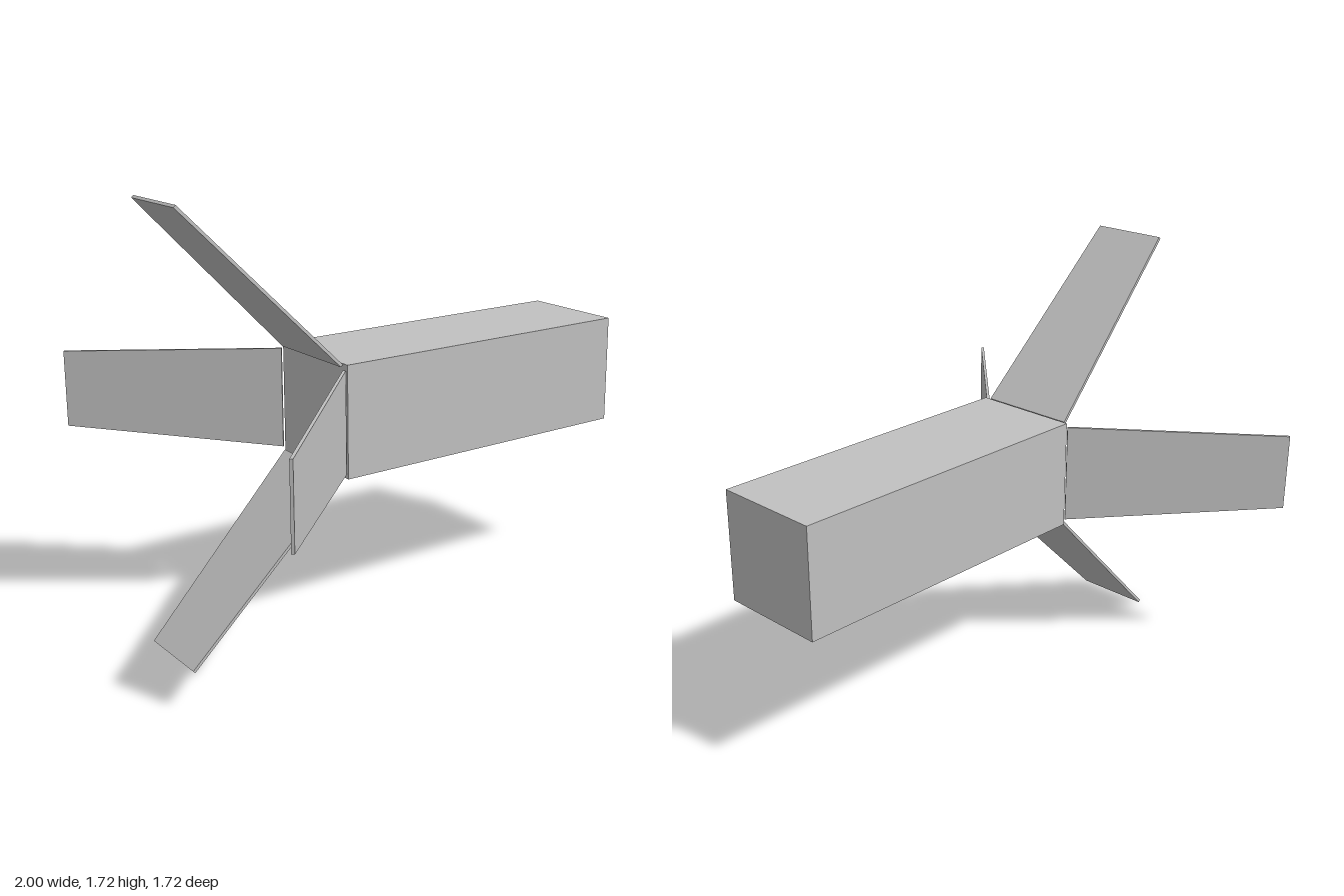
import * as THREE from 'three';

export function createModel() {
  const model = new THREE.Group();
  model.name = 'finnedBox';
  const grey = new THREE.MeshStandardMaterial({ color: 0xc0c0c0 });
  grey.name = 'plain grey';

  const centreY = 0.8575;
  const finLength = 0.9, finThickness = 0.012, rootHalf = 0.202, tipHalf = 0.157;

  // Long square body
  const body = new THREE.Mesh(new THREE.BoxGeometry(1.348, 0.445, 0.445), grey);
  body.name = 'body';
  body.position.set(0.326, centreY, 0);
  model.add(body);

  // Tapered flat fin, leaning back and outward at 45 degrees
  const outline = new THREE.Shape([
    new THREE.Vector2(-rootHalf, 0),
    new THREE.Vector2(rootHalf, 0),
    new THREE.Vector2(tipHalf, finLength),
    new THREE.Vector2(-tipHalf, finLength),
  ]);
  const finGeometry = new THREE.ExtrudeGeometry(outline, { depth: finThickness, bevelEnabled: false });
  finGeometry.translate(0, 0, -finThickness / 2);
  finGeometry.rotateY(Math.PI / 2);
  finGeometry.rotateZ(Math.PI / 4);
  finGeometry.translate(-0.359, 0.217, 0);

  // One fin along each edge of the open end
  ['topFin', 'frontFin', 'bottomFin', 'backFin'].forEach((name, i) => {
    const fin = new THREE.Mesh(finGeometry, grey);
    fin.name = name;
    fin.rotation.x = i * Math.PI / 2;
    fin.position.y = centreY;
    model.add(fin);
  });

  return model;
}
